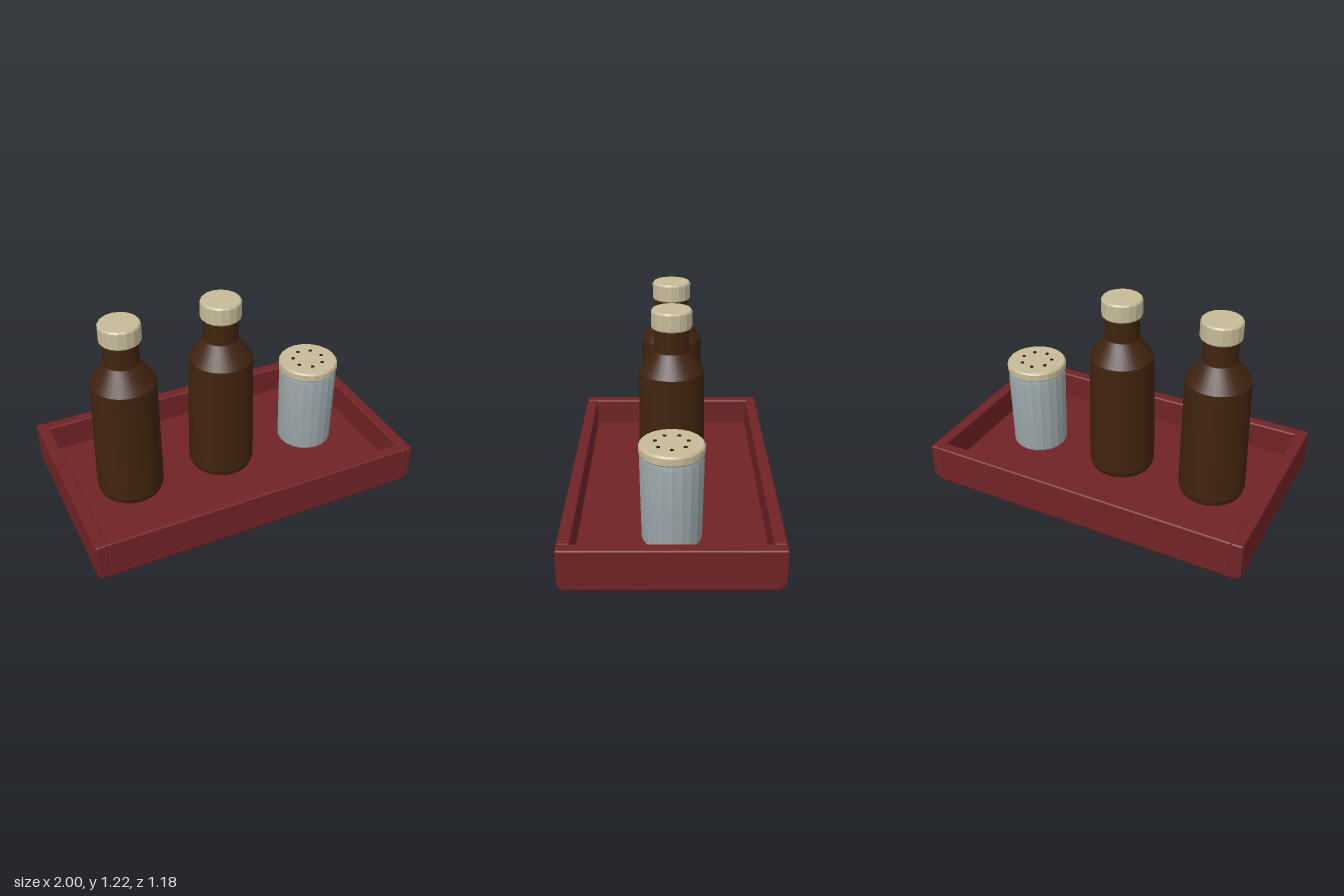
import * as THREE from 'three';
import { toCreasedNormals } from 'three/addons/utils/BufferGeometryUtils.js';
import { RoundedBoxGeometry } from 'three/addons/geometries/RoundedBoxGeometry.js';

function material(name, color) {
  const m = new THREE.MeshStandardMaterial({ color });
  m.name = name;
  return m;
}

export function createModel() {
  const red = material('dark red tray', 0x702325);
  const brown = material('brown glass', 0x40230f);
  const cream = material('cream cap', 0xc6bb99);
  const grey = material('pale grey glass', 0x97a3a5);
  const dark = material('dark holes', 0x2c1a0e);
  const model = new THREE.Group();
  model.name = 'condimentTray';

  const add = (parent, name, geometry, mat, x = 0, y = 0, z = 0) => {
    const mesh = new THREE.Mesh(geometry, mat);
    mesh.name = name;
    mesh.position.set(x, y, z);
    parent.add(mesh);
    return mesh;
  };
  // Turned part from [radius, height] pairs, bottom to top
  const turned = (profile, sides) => toCreasedNormals(
    new THREE.LatheGeometry(profile.map(([r, y]) => new THREE.Vector2(r, y)), sides), 0.3);

  // Tray: soft-edged base and four walls
  const tray = new THREE.Group();
  tray.name = 'tray';
  model.add(tray);
  const floor = 0.09, wallTop = 0.262, wallBottom = 0.05, thick = 0.07;
  const wallH = wallTop - wallBottom, wallY = (wallTop + wallBottom) / 2;
  add(tray, 'trayBase', new RoundedBoxGeometry(2, floor, 1.184, 3, 0.044), red, 0, floor / 2, 0);
  for (const s of [-1, 1]) {
    add(tray, s > 0 ? 'leftWall' : 'rightWall',
      new RoundedBoxGeometry(thick, wallH, 1.184, 2, 0.01), red, s * (1 - thick / 2), wallY, 0);
    add(tray, s > 0 ? 'frontWall' : 'backWall',
      new RoundedBoxGeometry(1.87, wallH, thick, 2, 0.01), red, 0, wallY, s * (0.592 - thick / 2));
  }

  // Two brown bottles with cream caps
  const bottleShape = turned([
    [0, floor], [0.165, floor], [0.185, 0.105], [0.197, 0.14], [0.197, 0.26],
    [0.187, 0.85], [0.1, 0.975], [0.1, 1.12], [0, 1.12],
  ], 28);
  const capShape = turned([
    [0, 1.11], [0.112, 1.11], [0.118, 1.118], [0.118, 1.21], [0.11, 1.22], [0, 1.22],
  ], 16);
  [-0.595, 0].forEach((x, i) => {
    const bottle = new THREE.Group();
    bottle.name = i ? 'middleBottle' : 'rightBottle';
    bottle.position.x = x;
    model.add(bottle);
    add(bottle, 'bottleBody', bottleShape, brown);
    add(bottle, 'bottleCap', capShape, cream);
  });

  // Shaker jar with a pierced lid
  const shaker = new THREE.Group();
  shaker.name = 'shaker';
  shaker.position.x = 0.59;
  model.add(shaker);
  add(shaker, 'shakerBody', turned([
    [0, floor], [0.155, floor], [0.167, 0.105], [0.175, 0.575], [0.165, 0.61], [0, 0.615],
  ], 20), grey);
  add(shaker, 'shakerLid', turned([
    [0, 0.61], [0.173, 0.61], [0.179, 0.618], [0.179, 0.657], [0.171, 0.668], [0, 0.668],
  ], 20), cream);
  const hole = new THREE.CylinderGeometry(0.011, 0.011, 0.006, 8);
  for (let i = 0; i < 7; i++) {
    const a = i * Math.PI * 2 / 7;
    add(shaker, 'lidHole', hole, dark, 0.092 * Math.cos(a), 0.669, 0.092 * Math.sin(a));
  }
  return model;
}
